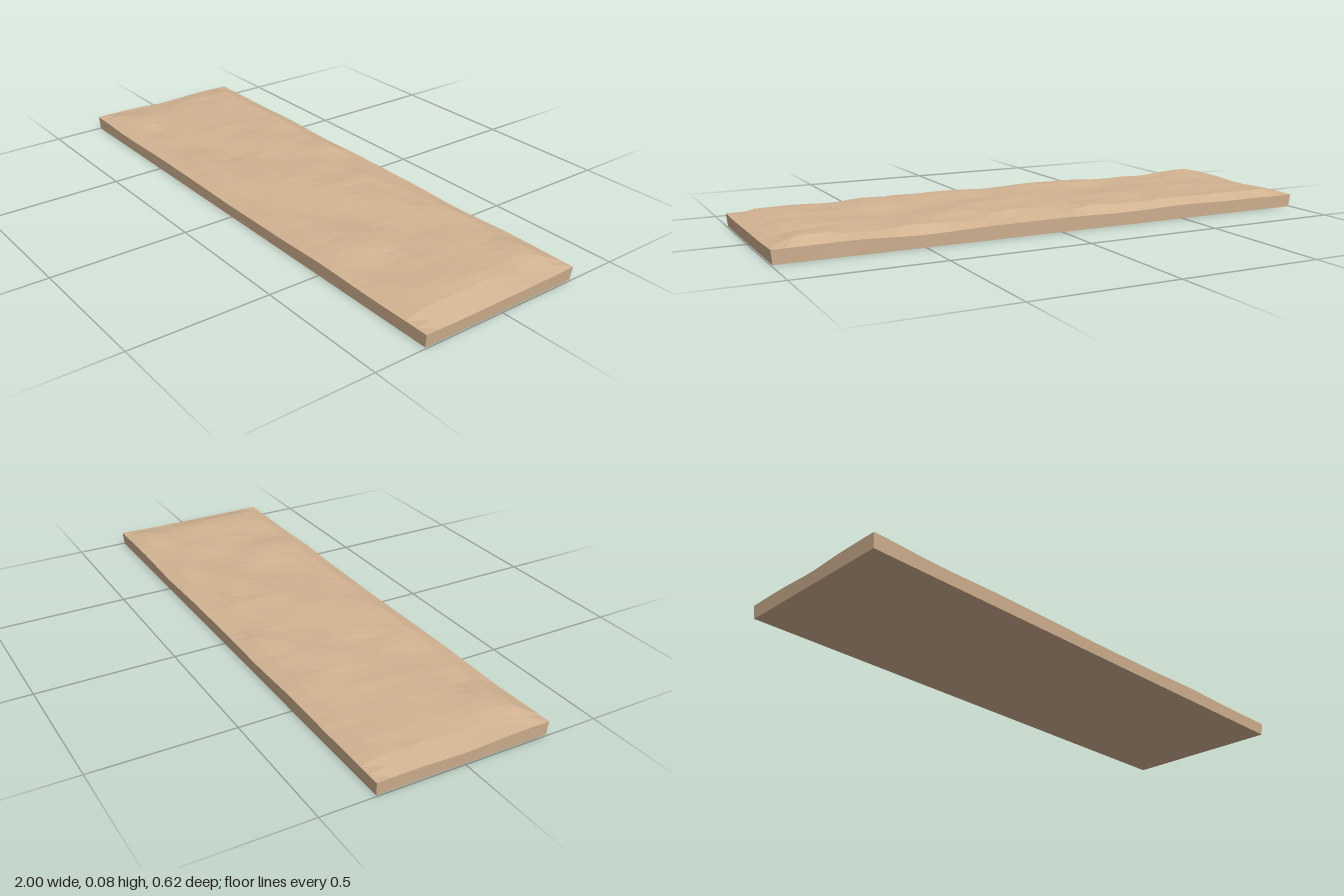
import * as THREE from 'three';

const COLS = 46, ROWS = 11, LENGTH = 2, WIDTH = 0.624;

// Repeatable pseudo-random value in 0..1 for a lattice point
function hash(i, j) {
  const s = Math.sin(i * 127.1 + j * 311.7 + 4.2) * 43758.5453;
  return s - Math.floor(s);
}

// Smooth value noise in 0..1
function noise(x, z) {
  const i = Math.floor(x), j = Math.floor(z);
  const u = THREE.MathUtils.smoothstep(x - i, 0, 1);
  const v = THREE.MathUtils.smoothstep(z - j, 0, 1);
  const lerp = THREE.MathUtils.lerp;
  return lerp(lerp(hash(i, j), hash(i + 1, j), u), lerp(hash(i, j + 1), hash(i + 1, j + 1), u), v);
}

// Height of the rough surface: broad swells plus long ledges, lower towards the rim
function surfaceHeight(x, z) {
  const swell = noise(x * 3 + 20, z * 7 + 20);
  const ledge = noise(x * 6 + 50, z * 17 + 50);
  const chip = noise(x * 16 + 80, z * 17 + 80);
  const inner = 0.056 + 0.012 * (swell - 0.5) + 0.018 * ledge + 0.006 * chip;
  const rim = 0.041 + 0.009 * noise(x * 4 + 9, z * 6 + 9);
  const inset = Math.min((1 - Math.abs(x)) * 0.6, WIDTH / 2 - Math.abs(z));
  return THREE.MathUtils.lerp(rim, inner, THREE.MathUtils.smoothstep(inset, -0.015, 0.075));
}

export function createModel() {
  const group = new THREE.Group();
  group.name = 'roughPlank';

  // Subdivided slab; its upper vertices follow the surface, its lower ones stay flat
  const box = new THREE.BoxGeometry(LENGTH, 1, WIDTH, COLS, 1, ROWS);
  const p = box.attributes.position;
  for (let i = 0; i < p.count; i++) {
    const x = p.getX(i), z = p.getZ(i);
    if (p.getY(i) > 0) p.setY(i, surfaceHeight(x, z));
    else p.setXYZ(i, x * 0.995, 0, z * 0.99);
  }
  const geometry = box.toNonIndexed();
  geometry.computeVertexNormals();

  const slab = new THREE.Mesh(
    geometry,
    new THREE.MeshStandardMaterial({ color: 0xd2b391, flatShading: true })
  );
  slab.name = 'slab';
  group.add(slab);
  return group;
}
